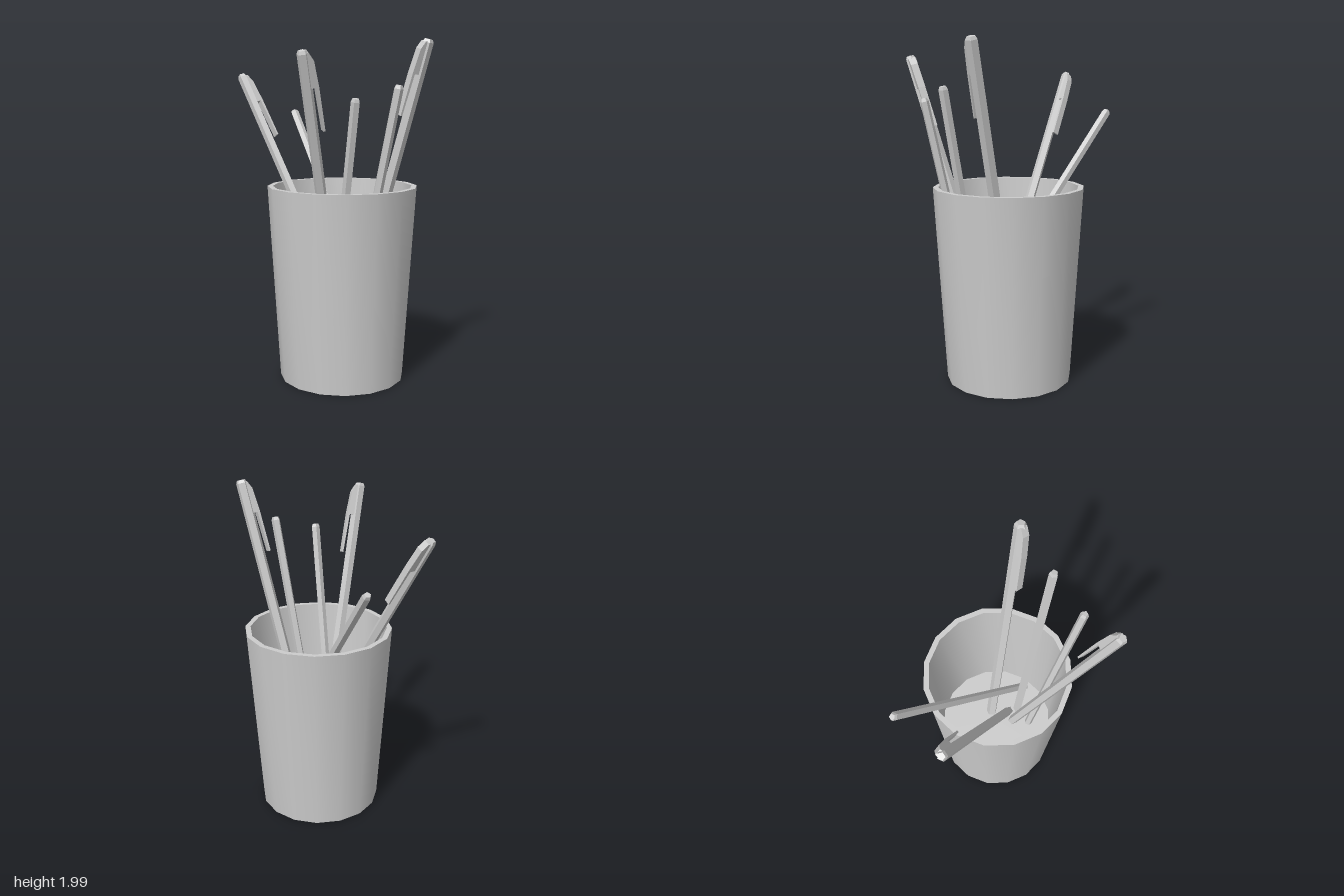
import * as THREE from 'three';
import { toCreasedNormals } from 'three/addons/utils/BufferGeometryUtils.js';

const material = new THREE.MeshStandardMaterial({ color: 0xcccccc });
const CUP_X = 0.112, CUP_Z = -0.058, FLOOR = 0.33;

// Faceted solid of revolution from [radius, height] pairs, listed bottom to top
function turned(name, profile, sides, phase, crease) {
  const points = profile.map(([r, y]) => new THREE.Vector2(r, y));
  const lathe = new THREE.LatheGeometry(points, sides, phase);
  const mesh = new THREE.Mesh(toCreasedNormals(lathe, crease), material);
  mesh.name = name;
  return mesh;
}

// Tapered 16-sided cup with a thin rim and a raised inner floor
function makeCup() {
  const k = 1 / Math.cos(Math.PI / 16);
  const profile = [[0, 0], [0.364 * k, 0], [0.433 * k, 1.155], [0.402 * k, 1.155],
    [0.356 * k, FLOOR], [0, FLOOR]];
  const cup = turned('cup', profile, 16, Math.PI / 16, 0.6);
  cup.position.set(CUP_X, 0, CUP_Z);
  return cup;
}

// Clip: solid block beside the cap, running down into a thin free tongue
function makeClip(width) {
  const s = new THREE.Shape([[0, -0.012], [0.028, -0.015], [0.05, -0.06], [0.06, -0.2],
    [0.064, -0.44], [0.053, -0.44], [0.044, -0.2], [0, -0.2]]
    .map(([x, y]) => new THREE.Vector2(x, y)));
  const geometry = new THREE.ExtrudeGeometry(s, { depth: width, bevelEnabled: false });
  geometry.translate(0, 0, -width / 2);
  const clip = new THREE.Mesh(geometry, material);
  clip.name = 'clip';
  return clip;
}

// Leaning stick from its top end to the cup floor; out is the side facing the clip
function makeStick({ name, top, rim, radius, out }) {
  const end = new THREE.Vector3(...top);
  const axis = end.clone().sub(new THREE.Vector3(rim[0], 1.155, rim[1])).normalize();
  const length = (end.y - FLOOR - 0.01) / axis.y;
  const x = new THREE.Vector3(out[0], 0, out[1]);
  x.addScaledVector(axis, -x.dot(axis)).normalize();
  const z = new THREE.Vector3().crossVectors(x, axis);

  const stick = new THREE.Group();
  stick.name = name;
  const profile = [[0, -length], [radius, -length], [radius, -0.018], [radius * 0.72, 0], [0, 0]];
  stick.add(turned('barrel', profile, 5, Math.PI / 10, 0.3));
  if (name === 'pen') stick.add(makeClip(radius * 1.3));
  stick.quaternion.setFromRotationMatrix(new THREE.Matrix4().makeBasis(x, axis, z));
  stick.position.copy(end);
  return stick;
}

export function createModel() {
  const model = new THREE.Group();
  model.name = 'pencilCup';
  model.add(makeCup());
  const sticks = [
    { name: 'pen', top: [0.545, 1.988, -0.32], rim: [0.335, -0.22], radius: 0.034, out: [-0.1, 1] },
    { name: 'pen', top: [0.455, 1.905, 0.458], rim: [0.325, 0.25], radius: 0.032, out: [0.3, -1] },
    { name: 'pen', top: [-0.572, 1.808, 0.222], rim: [-0.222, 0.105], radius: 0.03, out: [0, -1] },
    { name: 'pencil', top: [-0.565, 1.58, -0.168], rim: [-0.225, -0.14], radius: 0.026, out: [0, 1] },
    { name: 'pencil', top: [0.572, 1.735, -0.088], rim: [0.445, -0.055], radius: 0.027, out: [0, 1] },
    { name: 'pencil', top: [0.535, 1.665, 0.175], rim: [0.425, 0.15], radius: 0.026, out: [0, -1] },
  ];
  for (const stick of sticks) model.add(makeStick(stick));
  return model;
}
